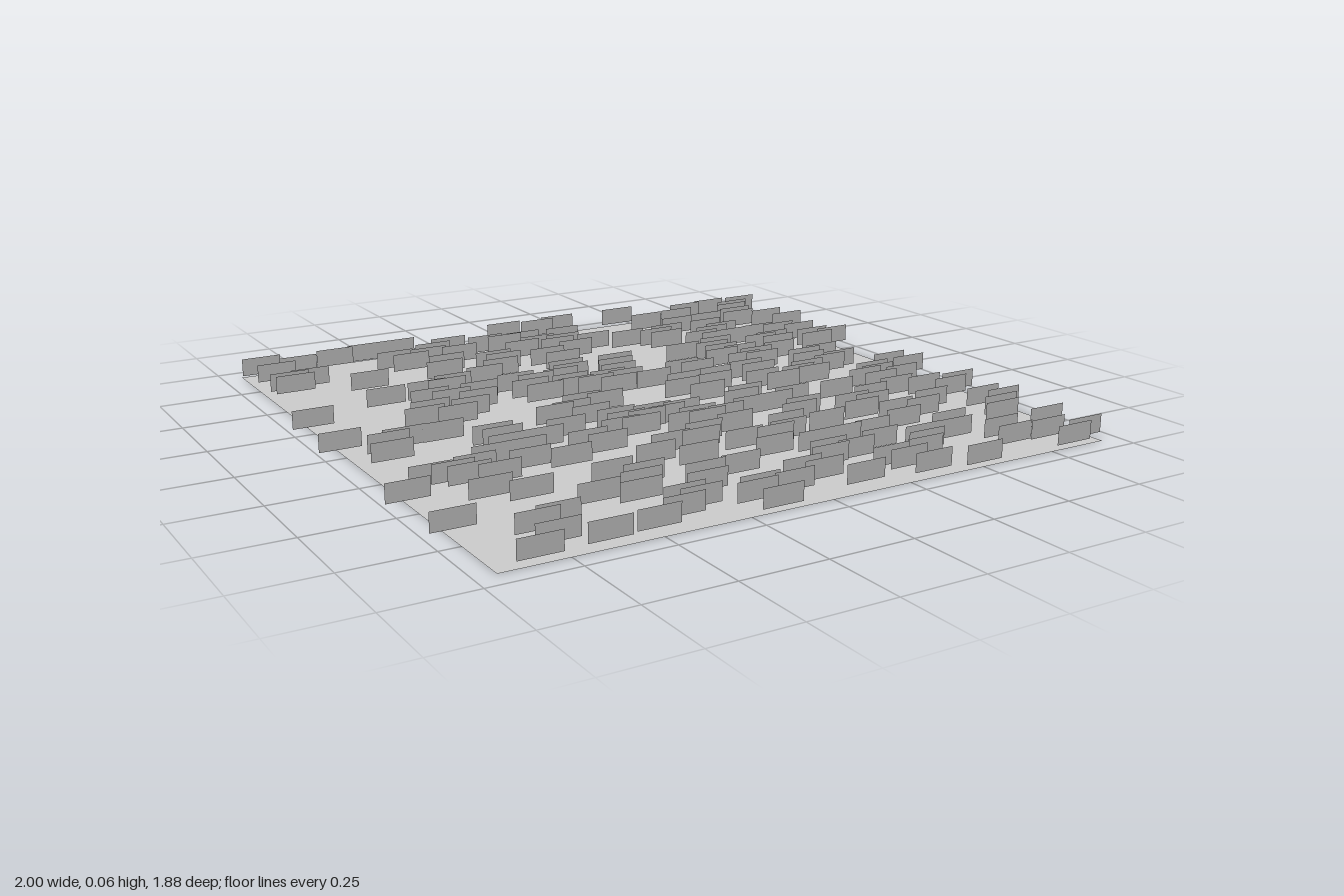
import * as THREE from 'three';
import { mergeGeometries } from 'three/addons/utils/BufferGeometryUtils.js';

// Small seeded generator for the scatter
function seeded(seed) {
  return () => {
    seed = (seed * 1664525 + 1013904223) % 4294967296;
    return seed / 4294967296;
  };
}

// x, z of the tufts standing along the rim of the ground
const RIM = [
  [-0.88, -0.92], [-0.64, -0.9], [-0.53, -0.91], [-0.42, -0.91], [-0.26, -0.85], [-0.01, -0.94],
  [0.11, -0.92], [0.2, -0.94], [0.44, -0.93], [0.69, -0.87], [0.8, -0.88], [0.93, -0.87],
  [-0.86, -0.7], [-0.93, -0.29], [-0.938, -0.05], [-0.935, 0.42], [-0.92, 0.66], [-0.82, 0.92],
  [-0.63, 0.91], [-0.49, 0.9], [-0.15, 0.93], [0.14, 0.89], [0.35, 0.91], [0.51, 0.93],
  [0.84, 0.93], [0.91, 0.9], [0.92, 0.56], [0.925, 0.35], [0.92, 0.12], [0.938, -0.31], [0.935, -0.57],
];
// Bare patches: x, z, radius
const BARE = [[-0.85, -0.47, 0.17], [0.35, -0.78, 0.13], [-0.46, -0.01, 0.12], [-0.86, 0.2, 0.08]];
const COUNT = 260, CARD_W = 0.124, CARD_H = 0.055, CARD_Y = 0.0375;

export function createModel() {
  const group = new THREE.Group();
  const material = new THREE.MeshStandardMaterial({ color: 0xcccccc, side: THREE.DoubleSide });

  // Flat ground sheet
  const ground = new THREE.Mesh(new THREE.PlaneGeometry(1.88, 1.88).rotateX(-Math.PI / 2), material);
  ground.name = 'ground';
  group.add(ground);

  // Upright grass cards, all facing the front
  const random = seeded(11);
  const spots = [...RIM];
  while (spots.length < COUNT) {
    const x = (random() * 2 - 1) * 0.9, z = (random() * 2 - 1) * 0.87;
    if (BARE.some(([bx, bz, r]) => Math.hypot(x - bx, z - bz) < r)) continue;
    // Keep cards from lying almost on top of each other
    if (spots.some(([sx, sz]) => Math.hypot((x - sx) * 0.6, z - sz) < 0.035)) continue;
    spots.push([x, z]);
  }
  const cards = spots.map(([x, z]) => new THREE.PlaneGeometry(CARD_W, CARD_H).translate(x, CARD_Y, z));
  const grass = new THREE.Mesh(mergeGeometries(cards), material);
  grass.name = 'grassCards';
  group.add(grass);

  return group;
}
